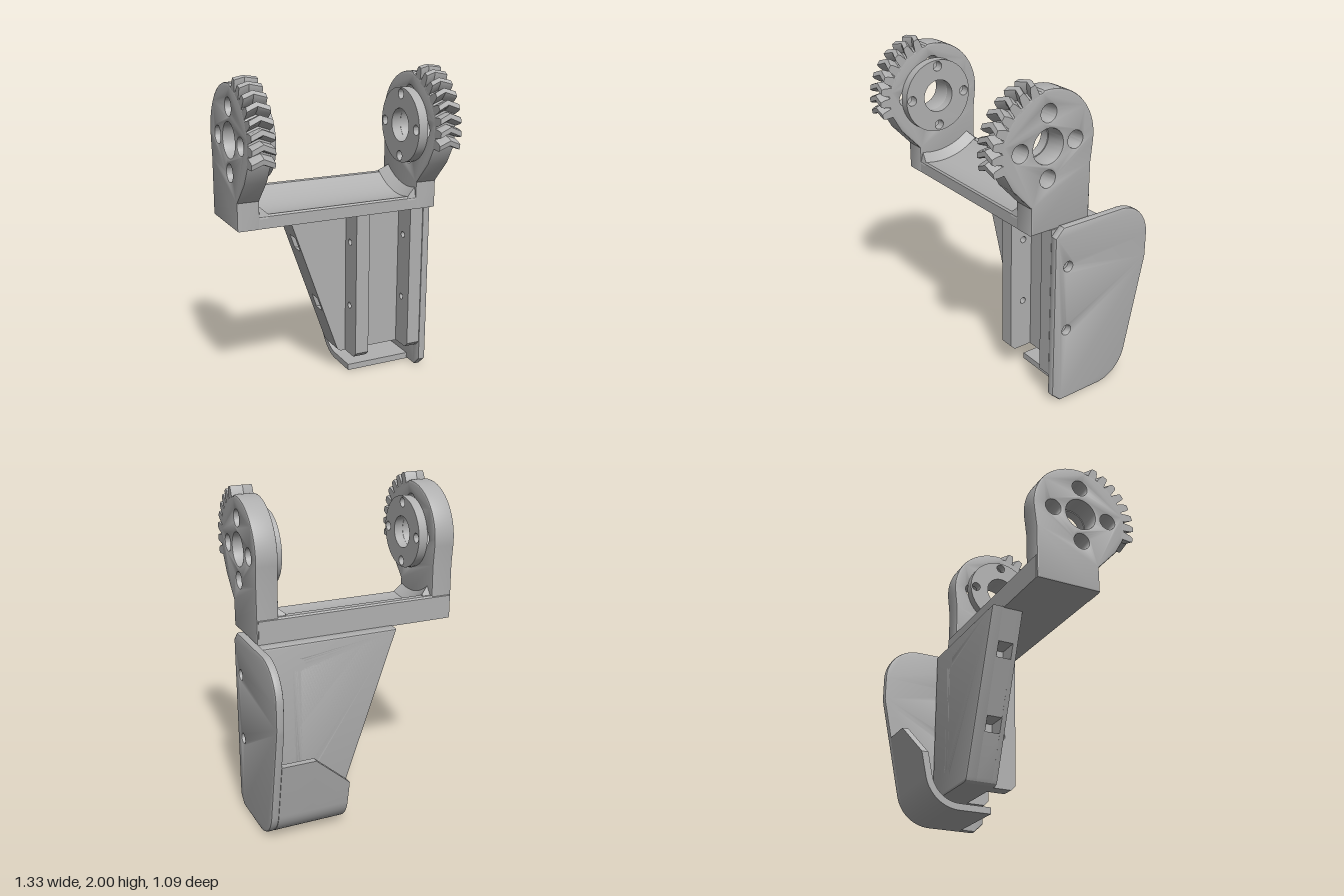
import * as THREE from 'three';
import { toCreasedNormals } from 'three/addons/utils/BufferGeometryUtils.js';

const grey = new THREE.MeshStandardMaterial({ color: 0xb0b0b0 });
grey.name = 'plain grey';
const HINGE = { z: 0.18, y: 1.645 };
const RAD = Math.PI / 180;

// Point on a circle in the (z, y) plane
const polar = (r, deg, cz = HINGE.z, cy = HINGE.y) => [cz + r * Math.cos(deg * RAD), cy + r * Math.sin(deg * RAD)];
function arc(r, a0, a1, n, cz, cy) {
  return Array.from({ length: n + 1 }, (_, i) => polar(r, a0 + (a1 - a0) * i / n, cz, cy));
}

function makeShape(pts, holes = []) {
  const shape = new THREE.Shape(pts.map(p => new THREE.Vector2(...p)));
  for (const [a, b, r] of holes) shape.holes.push(new THREE.Path().absarc(a, b, r, 0, Math.PI * 2, true));
  return shape;
}

function extrude(pts, holes, depth, bevel) {
  return new THREE.ExtrudeGeometry(makeShape(pts, holes), {
    depth: depth - 2 * bevel, curveSegments: 20, bevelEnabled: bevel > 0,
    bevelSize: bevel, bevelThickness: bevel, bevelOffset: -bevel, bevelSegments: 2,
  }).translate(0, 0, bevel);
}

// (z, y) outline extruded from x0 to x1
const prismX = (pts, holes, x0, x1, bevel = 0) =>
  extrude(pts, holes, x1 - x0, bevel).rotateY(-Math.PI / 2).translate(x1, 0, 0);
// (x, y) outline extruded from z0 to z1
const prismZ = (pts, holes, z0, z1, bevel = 0) => extrude(pts, holes, z1 - z0, bevel).translate(0, 0, z0);

// Closed (z, y) rings joined along rising x stations, with caps
function loft(rings, xs) {
  if (THREE.ShapeUtils.area(rings[0].map(p => new THREE.Vector2(...p))) < 0) rings = rings.map(r => [...r].reverse());
  const n = rings[0].length, pos = [], idx = [];
  rings.forEach((ring, k) => ring.forEach(([z, y]) => pos.push(xs[k], y, z)));
  for (let k = 0; k < rings.length - 1; k++) {
    for (let i = 0; i < n; i++) {
      const j = (i + 1) % n, a = k * n + i, b = k * n + j;
      idx.push(a, a + n, b + n, a, b + n, b);
    }
  }
  const cap = (k, flip) => {
    const pts = rings[k].map(p => new THREE.Vector2(...p));
    for (const [a, b, c] of THREE.ShapeUtils.triangulateShape(pts, [])) {
      idx.push(k * n + a, k * n + (flip ? c : b), k * n + (flip ? b : c));
    }
  };
  cap(0, false);
  cap(rings.length - 1, true);
  const g = new THREE.BufferGeometry();
  g.setAttribute('position', new THREE.Float32BufferAttribute(pos, 3));
  g.setIndex(idx);
  return g.toNonIndexed();
}

export function createModel() {
  const model = new THREE.Group();
  const add = (name, geo, parent = model) => {
    const mesh = new THREE.Mesh(toCreasedNormals(geo, 0.5), grey);
    mesh.name = name;
    parent.add(mesh);
  };

  // Hinge arms with gear teeth and bosses
  const bolts = r => [0, 90, 180, 270].map(a => [...polar(0.186, a), r]);
  const bore = [HINGE.z, HINGE.y, 0.1];
  const armOutline = [
    [-0.12, 1.145], [0.29, 1.145], [0.29, 1.31], [0.415, 1.445],
    ...arc(0.308, -19, 82, 20), ...arc(0.317, 84, 186, 26), [-0.122, 1.49],
  ];
  const toothRing = a => [
    polar(0.29, a - 5.2), polar(0.31, a - 5), polar(0.35, a - 3.6), polar(0.368, a - 2.3),
    polar(0.368, a + 2.3), polar(0.35, a + 3.6), polar(0.31, a + 5), polar(0.29, a + 5.2),
  ];
  for (const [side, x0, inward] of [['left', 0.475, -1], ['right', -0.665, 1]]) {
    const x1 = x0 + 0.135;
    const arm = new THREE.Group();
    arm.name = side + 'Arm';
    model.add(arm);
    add(side + 'ArmPlate', prismX(armOutline, [bore, ...bolts(0.05)], x0, x1, 0.01), arm);
    for (let i = 0; i < 8; i++) {
      const a = -13 + i * 12.2;
      add(side + 'GearTooth', loft([toothRing(a), toothRing(a + 4.5), toothRing(a)], [x0, (x0 + x1) / 2, x1]), arm);
    }
    const face = inward < 0 ? x0 : x1;
    const range = d => [face, face + inward * d].sort((a, b) => a - b);
    add(side + 'Boss', prismX(arc(0.225, 0, 354, 59), [bore, ...bolts(0.03)], ...range(0.058)), arm);

    // Sloped fillet where arm meets the crossbar
    const band = r => [...arc(r, 231, 284, 16), ...arc(0.455, 284, 231, 16)];
    const rings = [band(0.38), band(0.43)];
    add(side + 'Fillet', loft(inward < 0 ? rings.reverse() : rings, range(0.052)), arm);
  }

  // Crossbar with hollowed top
  const beam = [[-0.125, 1.145], [0.288, 1.145], [0.288, 1.215], [0.28, 1.226],
    ...arc(0.43, 283, 233.3, 20), [-0.115, 1.3], [-0.125, 1.29]];
  add('crossbar', loft([beam, beam], [-0.655, 0.6]));

  // Tapered mounting plate, its middle layer notched for the cross bores
  const edgeX = y => -0.25 + 0.355 * (1.15 - y);
  const foot = [[0.09, 0.19], [0.1, 0.17], [0.12, 0.158], [0.61, 0.158], [0.61, 1.15], [-0.25, 1.15]];
  const notch = y => [[edgeX(y + 0.045), y + 0.045], [edgeX(y) + 0.12, y + 0.045],
    [edgeX(y) + 0.12, y - 0.045], [edgeX(y - 0.045), y - 0.045]];
  const screws = [[0.385, 1.02, 0.028], [0.385, 0.27, 0.028]];
  add('mountBack', prismZ(foot, screws, -0.2, -0.12, 0.012), model);
  add('mountMiddle', prismZ([...foot, ...notch(0.91), ...notch(0.49)], screws, -0.133, -0.03));
  add('mountFront', prismZ(foot, screws, -0.03, 0));

  // Two upright ribs forming the channel
  const ribOutline = [[-0.01, 0.16], [0.12, 0.16], [0.15, 0.19], [0.15, 1.146], [-0.01, 1.146]];
  const pins = r => [[0.06, 0.91, r], [0.06, 0.49, r]];
  add('innerRib', prismX(ribOutline, pins(0.02), 0.15, 0.24));
  add('outerRib', prismX(ribOutline, pins(0.02), 0.525, 0.612));

  // Side guard plate
  const guard = [[0.155, 0.065], [0.155, 1.11], [0.1, 1.165],
    ...arc(0.22, 90, 180, 14, -0.325, 0.945), [-0.545, 0.8], [-0.54, 0.77],
    ...arc(0.22, 192, 270, 14, -0.2, 0.008), [0.095, 0.008]];
  // The lower arc is centred one radius above the base line
  for (let i = 20; i < 35; i++) guard[i][1] += 0.22;
  guard[guard.length - 1][1] = 0.008;
  add('sideGuard', prismX(guard, pins(0.03), 0.612, 0.662, 0.012));

  // Curved scoop, its rear wall dropping towards the open end
  const scoopRing = h => {
    const wall = r => {
      const [ez, ey] = polar(r, 192, -0.2, 0.228);
      return [[0, 0.228 - r], ...arc(r, 270, 192, 14, -0.2, 0.228), [ez - 0.2126 * (h - ey), h]];
    };
    return [...wall(0.22), ...wall(0.18).reverse()];
  };
  add('scoop', loft([scoopRing(0.33), scoopRing(0.54), scoopRing(0.54)], [0.175, 0.405, 0.615]));

  return model;
}
